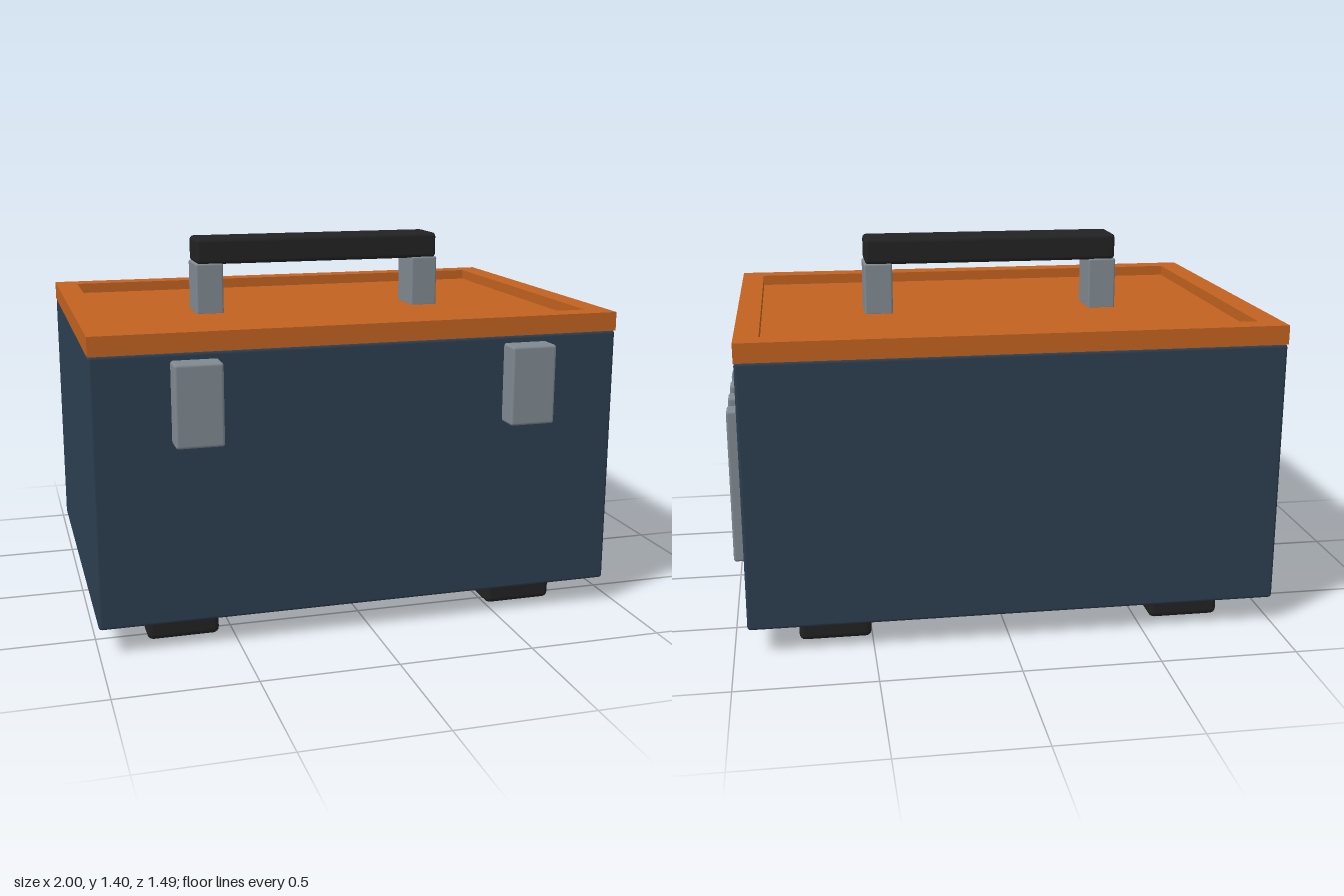
import * as THREE from 'three';
import { RoundedBoxGeometry } from 'three/addons/geometries/RoundedBoxGeometry.js';

const paint = (name, color) => {
  const m = new THREE.MeshStandardMaterial({ color });
  m.name = name;
  return m;
};

export function createModel() {
  const blue = paint('slate blue', 0x2c3e50);
  const orange = paint('burnt orange', 0xc0611f);
  const grey = paint('metal grey', 0x7f8890);
  const black = paint('rubber black', 0x222222);

  const model = new THREE.Group();
  model.name = 'toolbox';
  // The case sits slightly off centre because latches and vents stick out
  const box = new THREE.Group();
  box.name = 'case';
  box.position.set(-0.025, 0, -0.042);
  model.add(box);

  const add = (name, geometry, material, x, y, z) => {
    const mesh = new THREE.Mesh(geometry, material);
    mesh.name = name;
    mesh.position.set(x, y, z);
    box.add(mesh);
    return mesh;
  };
  const block = (name, material, w, h, d, r, x, y, z) =>
    add(name, new RoundedBoxGeometry(w, h, d, 2, r), material, x, y, z);

  // Main body
  block('body', blue, 1.95, 0.98, 1.405, 0.012, 0, 0.587, 0);

  // Lid: raised rim around a sunken panel
  const W = 1.952, D = 1.406, w = 1.778, d = 1.232;
  const rect = (S, a, b) => new S([
    new THREE.Vector2(-a / 2, -b / 2), new THREE.Vector2(a / 2, -b / 2),
    new THREE.Vector2(a / 2, b / 2), new THREE.Vector2(-a / 2, b / 2),
  ]);
  const rimShape = rect(THREE.Shape, W, D);
  rimShape.holes.push(rect(THREE.Path, w, d));
  const rim = new THREE.ExtrudeGeometry(rimShape, { depth: 0.07, bevelEnabled: false });
  rim.rotateX(-Math.PI / 2);
  add('lidRim', rim, orange, 0, 1.076, 0);
  add('lidPanel', new THREE.BoxGeometry(w, 0.03, d), orange, 0, 1.091, 0);

  // Paired parts on both sides
  for (const [side, s] of [['left', 1], ['right', -1]]) {
    block(side + 'Foot', black, 0.265, 0.105, 1.224, 0.022, s * 0.66, 0.0525, 0);
    block(side + 'Latch', grey, 0.17, 0.293, 0.1, 0.01, s * 0.613, 0.904, 0.737);
    block(side + 'HandlePost', grey, 0.108, 0.2, 0.168, 0.008, s * 0.44, 1.2, 0);
  }

  // Carrying grip
  block('handleGrip', black, 0.98, 0.1, 0.17, 0.016, 0, 1.346, 0);

  // Vent slats on the left side
  for (let i = -2; i <= 2; i++) {
    block('ventSlat', grey, 0.06, 0.585, 0.087, 0.01, 0.995, 0.536, i * 0.1835);
  }
  return model;
}
